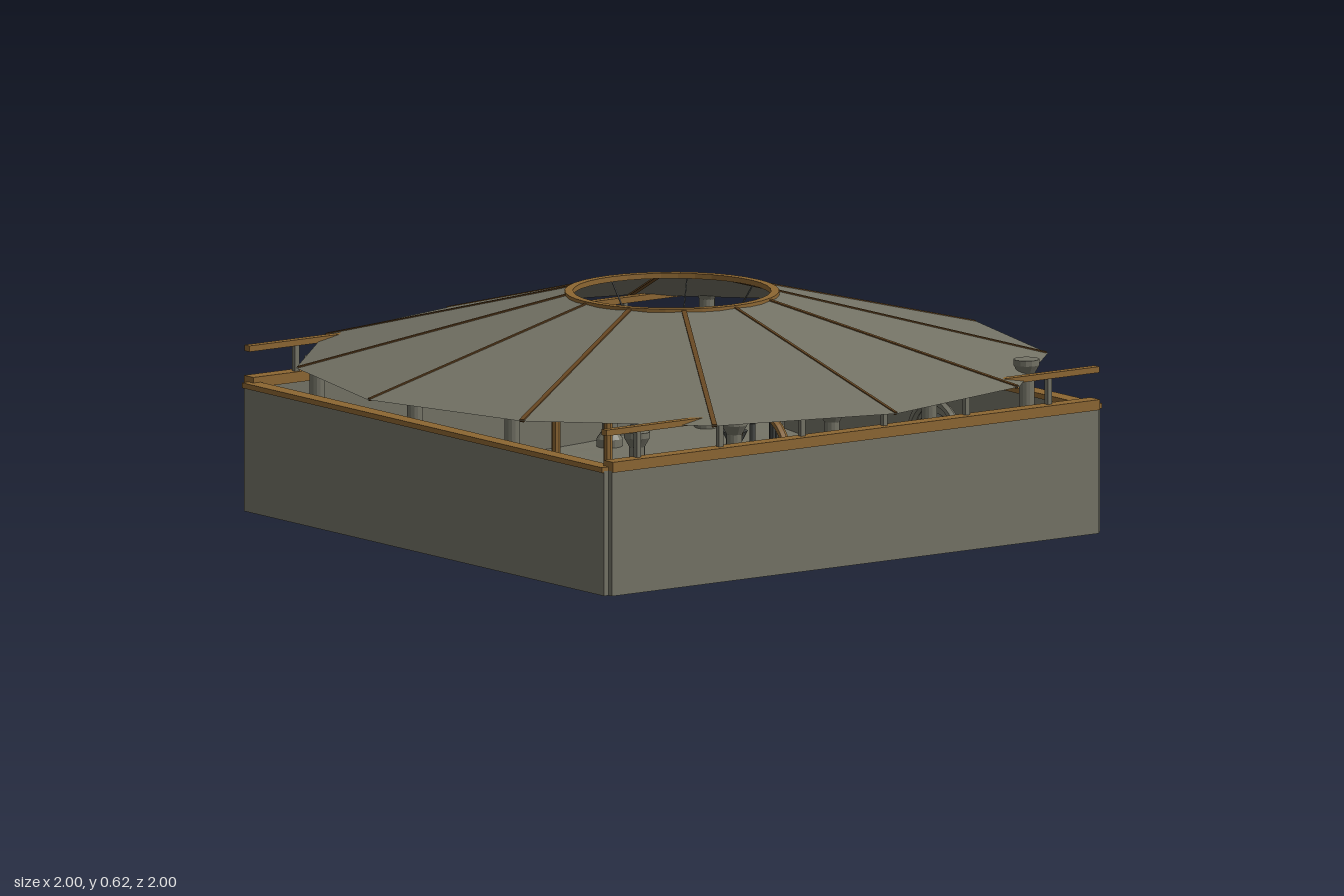
import * as THREE from 'three';

const mat = (name, color, double = false) => {
  const m = new THREE.MeshStandardMaterial({ color, flatShading: true });
  m.name = name;
  if (double) m.side = THREE.DoubleSide;
  return m;
};

export function createModel() {
  const root = new THREE.Group();
  const stone = mat('stone', 0x737265, true);
  const wood = mat('wood', 0x8c6632);
  const darkWood = mat('darkWood', 0x674722);
  const iron = mat('iron', 0x454845, true);

  const add = (name, geo, m, x = 0, y = 0, z = 0, parent = root) => {
    const mesh = new THREE.Mesh(geo, m);
    mesh.name = name;
    mesh.position.set(x, y, z);
    parent.add(mesh);
    return mesh;
  };
  const box = (name, w, h, d, m, x, y, z) => add(name, new THREE.BoxGeometry(w, h, d), m, x, y, z);
  const lathe = (name, pts, sides, m, x = 0, z = 0) =>
    add(name, new THREE.LatheGeometry(pts.map(([r, y]) => new THREE.Vector2(r, y)), sides), m, x, 0, z);
  const flatRing = (name, r, tube, y, m, sides, parent) => {
    const ring = add(name, new THREE.TorusGeometry(r, tube, 6, sides), m, 0, y, 0, parent);
    ring.rotation.x = Math.PI / 2;
  };
  // straight bar between two points
  const bar = (name, a, b, w, h, m) => {
    const mesh = add(name, new THREE.BoxGeometry(w, h, a.distanceTo(b)), m);
    mesh.position.copy(a).lerp(b, 0.5);
    mesh.lookAt(b);
  };
  const polar = (r, y, a) => new THREE.Vector3(Math.sin(a) * r, y, Math.cos(a) * r);
  const floorY = (x, z) => 0.062 + 0.13 * x * x * z * z;

  // walls with notched corners, and wooden wall caps
  for (const s of [-1, 1]) {
    box('endWall', 1.6, 0.335, 0.03, stone, 0, 0.1675, s * 0.8);
    box('sideWall', 0.03, 0.335, 1.6, stone, s * 0.8, 0.1675, 0);
    box('endWallCap', 1.6, 0.014, 0.045, wood, 0, 0.338, s * 0.799);
    box('sideWallCap', 0.042, 0.028, 1.6, wood, s * 0.799, 0.346, 0);
    // side railing on thin posts
    box('handRail', 0.022, 0.016, 1.62, wood, s * 0.793, 0.437, 0);
    for (let i = 0; i < 6; i++)
      box('railPost', 0.014, 0.075, 0.014, stone, s * 0.793, 0.395, s * (-0.65 + i * 0.27));
  }

  // gently raised floor
  const floor = new THREE.PlaneGeometry(1.58, 1.58, 16, 16).rotateX(-Math.PI / 2);
  const p = floor.attributes.position;
  for (let i = 0; i < p.count; i++) p.setY(i, floorY(p.getX(i), p.getZ(i)));
  floor.computeVertexNormals();
  add('floor', floor, stone);

  // twelve-sided roof with open centre
  add('roof', new THREE.CylinderGeometry(0.275, 1, 0.183, 12, 1, true), stone, 0, 0.5235, 0);
  for (let i = 0; i < 12; i++) {
    const a = i * Math.PI / 6;
    bar('roofRib', polar(0.275, 0.614, a), polar(0.995, 0.432, a), i % 3 ? 0.013 : 0.008, 0.008, darkWood);
  }
  lathe('roofRing', [[0.262, 0.606], [0.284, 0.606], [0.284, 0.62], [0.262, 0.62], [0.262, 0.606]], 36, wood);

  // columns along both sides
  const column = (x, z, top) => {
    const base = floorY(x, z) - 0.01;
    lathe('column', [[0, base], [0.035, base], [0.035, base + 0.03], [0.021, base + 0.05],
      [0.021, top - 0.04], [0.035, top - 0.015], [0.035, top], [0, top]], 14, stone, x, z);
  };
  for (const s of [-1, 1])
    [[-0.64, 0.47], [-0.32, 0.43], [0, 0.41], [0.32, 0.41], [0.64, 0.41]]
      .forEach(([z, top]) => column(s * 0.71, z, top));

  // arched frames standing on the floor
  const arch = (x, z, r, top, m) => {
    const spring = top - r - 0.012;
    add('arch', new THREE.TorusGeometry(r, 0.012, 6, 18, Math.PI), m, x, spring, z);
    for (const t of [-1, 1])
      add('archLeg', new THREE.CylinderGeometry(0.012, 0.012, spring - 0.05, 8), m, x + t * r, (spring + 0.05) / 2, z);
  };
  for (const s of [-1, 1]) {
    arch(s * 0.4, 0, 0.115, 0.36, wood);
    arch(s * 0.4, -0.57, 0.11, 0.33, stone);
    arch(s * 0.4, -0.57, 0.08, 0.29, iron);
  }

  // standing braziers
  for (const [x, z] of [[-0.225, -0.04], [0.225, -0.04], [0, -0.265]])
    lathe('brazier', [[0, 0.055], [0.035, 0.055], [0.02, 0.09], [0.008, 0.1], [0.008, 0.235],
      [0.018, 0.24], [0.035, 0.272], [0, 0.262]], 12, iron, x, z);

  // hanging chandelier
  const lamp = new THREE.Group();
  lamp.name = 'chandelier';
  root.add(lamp);
  flatRing('lowerRing', 0.128, 0.006, 0.37, wood, 24, lamp);
  flatRing('innerRing', 0.1, 0.005, 0.39, darkWood, 24, lamp);
  flatRing('upperRing', 0.062, 0.005, 0.415, darkWood, 20, lamp);
  for (let i = 0; i < 8; i++) {
    const a = i * Math.PI / 4;
    const c = polar(0.128, 0.352, a);
    add('lampCup', new THREE.CylinderGeometry(0.01, 0.007, 0.02, 8), wood, c.x, c.y, c.z, lamp);
    bar('chain', polar(0.1, 0.38, a), polar(0.268, 0.61, a), 0.003, 0.003, iron);
  }

  // round plinth in the middle of the floor
  add('plinth', new THREE.CylinderGeometry(0.08, 0.09, 0.05, 16), stone, 0, 0.08, 0);
  return root;
}
